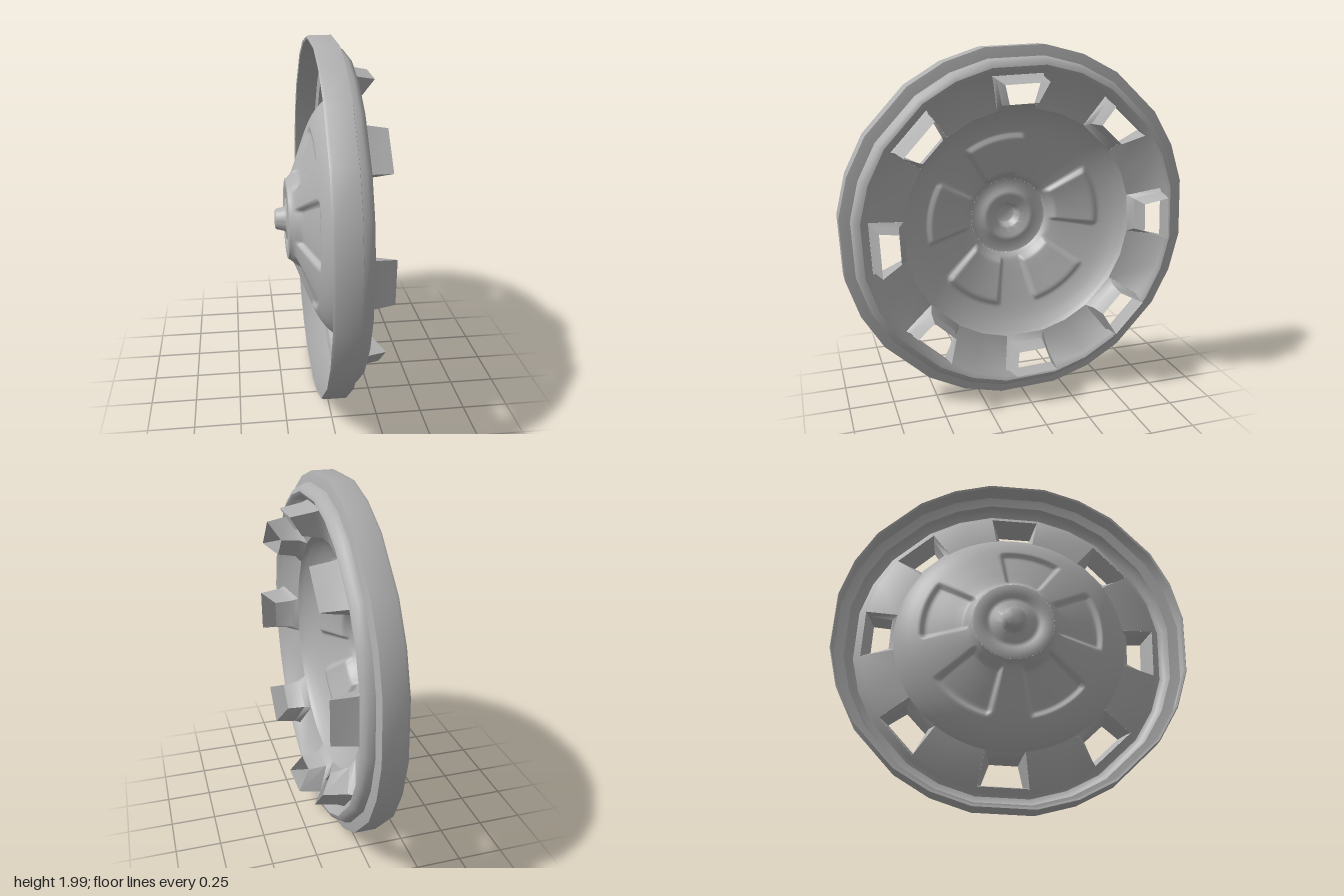
import * as THREE from 'three';
import { toCreasedNormals } from 'three/addons/utils/BufferGeometryUtils.js';

const DEG = Math.PI / 180;
const TWIST = 2.2 * DEG; // the slots sit slightly off the vertical

// Point on the wheel: radius, angle from the top towards +z, and position along the axle (x)
const polar = (r, a, x) => [x, r * Math.cos(a), r * Math.sin(a)];

// Surface through rows of points; skip(i, j) leaves a cell open
function grid(rows, cols, point, skip = () => false) {
  const pos = [], index = [];
  for (let i = 0; i < rows; i++) for (let j = 0; j < cols; j++) pos.push(...point(i, j));
  for (let i = 0; i < rows - 1; i++) for (let j = 0; j < cols; j++) {
    if (skip(i, j)) continue;
    const k = (j + 1) % cols;
    const a = i * cols + j, b = i * cols + k, c = (i + 1) * cols + j, d = (i + 1) * cols + k;
    index.push(a, c, b, b, c, d);
  }
  const g = new THREE.BufferGeometry();
  g.setAttribute('position', new THREE.Float32BufferAttribute(pos, 3));
  g.setIndex(index);
  g.computeVertexNormals();
  return g;
}

export function createModel() {
  const group = new THREE.Group();
  const metal = new THREE.MeshStandardMaterial({ color: 0xb0b0b0, side: THREE.DoubleSide });
  metal.name = 'grey metal';
  const wheel = new THREE.Group();
  wheel.name = 'wheelCover';
  wheel.position.y = 1;
  group.add(wheel);
  const add = (name, geometry) => {
    const m = new THREE.Mesh(geometry, metal);
    m.name = name;
    wheel.add(m);
    return m;
  };

  // Faceted rim and slotted ring, [radius, x]; the last band carries the slots
  const rim = [[0.985, -0.06], [0.997, -0.064], [1.003, -0.05], [1.003, 0.07], [0.985, 0.074], [0.945, 0.08],
    [0.94, 0.11], [0.925, 0.132], [0.9, 0.142], [0.877, 0.13], [0.855, 0.1], [0.662, 0.05]];
  const rimAngles = [];
  for (let s = 0; s < 8; s++) for (const a of [-9.5, 9.5, 22.5]) rimAngles.push((s * 45 + a) * DEG + TWIST);
  add('rim', toCreasedNormals(grid(rim.length, 24,
    (i, j) => polar(rim[i][0], rimAngles[j], rim[i][1]),
    (i, j) => i === rim.length - 2 && j % 3 === 0), 0.75));

  // Tapered open sleeves around the slots: [outer height, half width, x, inner height, half width, x]
  const sections = [[0.843, 0.141, 0.1, 0.653, 0.109, 0.05], [0.831, 0.13, 0.135, 0.685, 0.09, 0.085],
    [0.81, 0.12, 0.26, 0.70, 0.08, 0.19]];
  const sleeve = toCreasedNormals(grid(sections.length, 4, (i, j) => {
    const [ho, wo, xo, hi, wi, xi] = sections[i];
    return [[xo, ho, -wo], [xo, ho, wo], [xi, hi, wi], [xi, hi, -wi]][j];
  }), 0.75);
  for (let s = 0; s < 8; s++) add('clipSleeve' + (s + 1), sleeve).rotation.x = s * 45 * DEG + TWIST;

  // Dished centre with five pressed panels
  const dish = new THREE.SplineCurve([[0.664, 0.05], [0.64, 0.02], [0.59, -0.022], [0.52, -0.06], [0.4, -0.108],
    [0.3, -0.145], [0.25, -0.168], [0.225, -0.197]].map(p => new THREE.Vector2(...p))).getPoints(56);
  const panels = [13, 80, 148, 214, 284];
  const press = (r, deg) => {
    let off = 180;
    for (const c of panels) off = Math.min(off, Math.abs(((deg - c + 540) % 360) - 180));
    const side = 1 - THREE.MathUtils.smoothstep((off - 20) * DEG * r, -0.012, 0.012);
    const ends = THREE.MathUtils.smoothstep(r, 0.24, 0.28) * (1 - THREE.MathUtils.smoothstep(r, 0.485, 0.515));
    return 0.028 * side * ends;
  };
  add('dish', grid(dish.length, 240, (i, j) => {
    const r = dish[i].x, deg = j * 1.5;
    return polar(r, deg * DEG, dish[i].y + press(r, deg));
  }));

  // Hub plate with a hollow tapered pin
  const hub = [[0.225, -0.197], [0.215, -0.2], [0.16, -0.2], [0.148, -0.188], [0.125, -0.188], [0.112, -0.2],
    [0.078, -0.2], [0.07, -0.208], [0.057, -0.255], [0.05, -0.262], [0.0001, -0.262]];
  add('hub', toCreasedNormals(grid(hub.length, 48,
    (i, j) => polar(hub[i][0], j * 7.5 * DEG, hub[i][1])), 0.9));

  return group;
}
